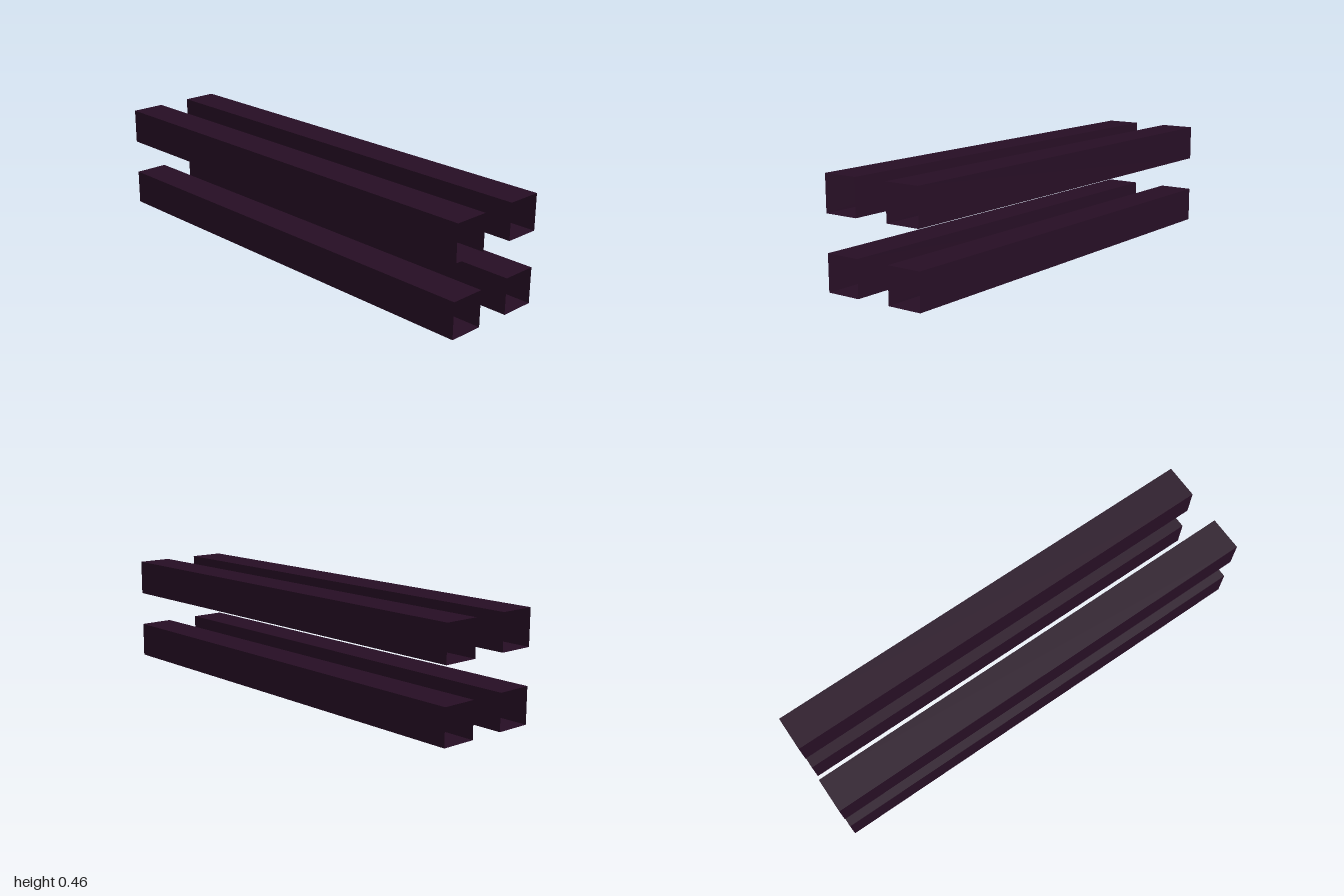
import * as THREE from 'three';

export function createModel() {
  const model = new THREE.Group();
  model.name = 'beamBundle';

  const darkPlum = new THREE.MeshStandardMaterial({ color: 0x260e24, side: THREE.DoubleSide, flatShading: true });
  darkPlum.name = 'darkPlum';

  const size = 2 / 13; // beam width, also the gap between beams
  const length = 2;

  // Hollow square beam, open at both ends, running along z
  const beam = new THREE.CylinderGeometry(size * Math.SQRT1_2, size * Math.SQRT1_2, length, 4, 1, true);
  beam.rotateY(Math.PI / 4);
  beam.rotateX(Math.PI / 2);

  // Two beams side by side on two levels
  for (const [level, y] of [['lower', size / 2], ['upper', size * 2.5]]) {
    for (const [side, x] of [['Left', size], ['Right', -size]]) {
      const mesh = new THREE.Mesh(beam, darkPlum);
      mesh.name = `${level}${side}Beam`;
      mesh.position.set(x, y, 0);
      model.add(mesh);
    }
  }
  return model;
}
